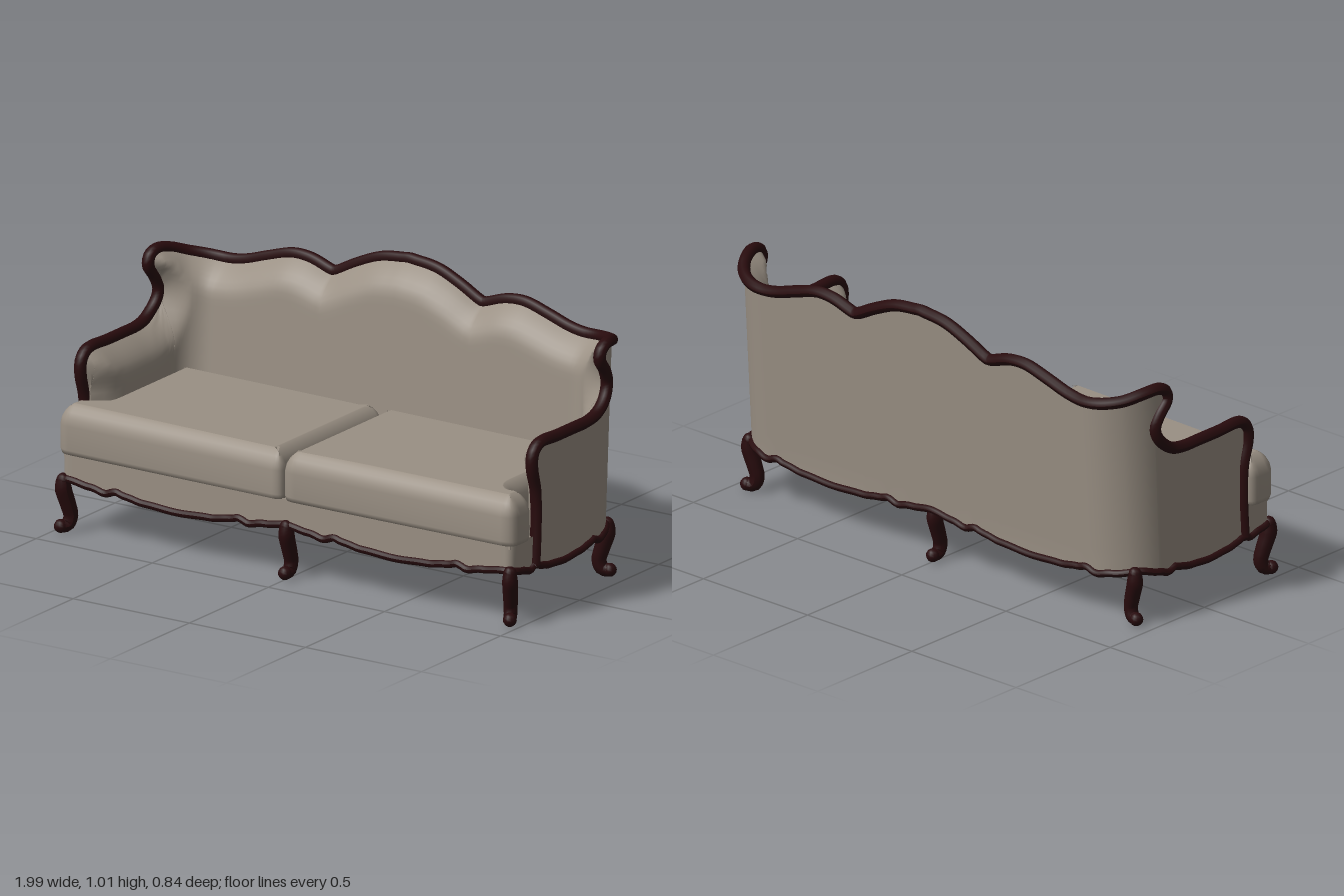
import * as THREE from 'three';
import { mergeVertices } from 'three/addons/utils/BufferGeometryUtils.js';

const fabric = new THREE.MeshStandardMaterial({ color: 0x9a9084, side: THREE.DoubleSide });
fabric.name = 'greige upholstery';
const wood = new THREE.MeshStandardMaterial({ color: 0x280b0d });
wood.name = 'dark mahogany';

const HALF = 1.47; // length of the shell's plan from arm front to middle of back
const { lerp, clamp, smoothstep } = THREE.MathUtils;

// Point on the U-shaped shell: s runs round the plan, y up, off goes inwards
function shellPoint(s, y, off = 0) {
  const t = s > HALF ? 2 * HALF - s : s;
  let x = 0.972, z = 0.25 - t, nx = 1, nz = 0;
  if (t >= 0.695) {
    x = HALF - t; z = -0.34; nx = 0; nz = -1;
  } else if (t > 0.4) {
    const a = (t - 0.4) / 0.295 * Math.PI / 2;
    nx = Math.cos(a); nz = -Math.sin(a);
    x = 0.775 + 0.197 * nx; z = -0.15 + 0.19 * nz;
  }
  const lean = 0.075 * Math.max(0, y - 0.2) * clamp(-z / 0.34, 0, 1);
  x -= nx * off;
  return new THREE.Vector3(s > HALF ? -x : x, y, z - nz * off - lean);
}

// Scalloped lower edge between two legs (u from 0 to 1)
const scallop = [[0, 0.163], [0.3, 0.17], [0.48, 0.182], [0.56, 0.192], [0.66, 0.178], [0.78, 0.19], [1, 0.203]];
function wave(u) {
  const k = Math.min(1, Math.abs(u - 0.5) * 2);
  let i = 0;
  while (i < scallop.length - 2 && k > scallop[i + 1][0]) i++;
  const [a, ya] = scallop[i], [b, yb] = scallop[i + 1];
  return lerp(ya, yb, smoothstep(k, a, b));
}
function shellBottom(s) {
  const t = s > HALF ? 2 * HALF - s : s;
  return wave(t < 0.52 ? (t + 0.13) / 0.65 : (t - 0.52) / 0.95);
}

// Smooth surface through columns of points
function grid(columns, capIndex = []) {
  const rows = columns[0].length, index = [...capIndex];
  for (let i = 0; i < columns.length - 1; i++) {
    for (let j = 0; j < rows - 1; j++) {
      const a = i * rows + j, b = a + rows;
      index.push(a, b, a + 1, b, b + 1, a + 1);
    }
  }
  let geo = new THREE.BufferGeometry().setFromPoints(columns.flat());
  geo.setIndex(index);
  geo = mergeVertices(geo, 1e-4);
  geo.computeVertexNormals();
  return geo;
}

// Tube whose half-widths across x and across y/z vary along the path
function sweep(points, segments, widths) {
  const curve = new THREE.CatmullRomCurve3(points), sides = 10;
  const geo = new THREE.TubeGeometry(curve, segments, 1, sides);
  const pos = geo.attributes.position, v = new THREE.Vector3();
  for (let i = 0; i < pos.count; i++) {
    const u = Math.floor(i / (sides + 1)) / segments, c = curve.getPointAt(u);
    const [wx, wyz] = widths(u, curve);
    v.fromBufferAttribute(pos, i).sub(c);
    pos.setXYZ(i, c.x + v.x * wx, Math.max(0, c.y + v.y * wyz), c.z + v.z * wyz);
  }
  geo.computeVertexNormals();
  return geo;
}

// Show-wood outline in (s, y): arm front, armrest, wing scroll, crested back
const railHalf = [
  [0.008, 0.2], [0.016, 0.35], [0.012, 0.47], [-0.01, 0.56], [-0.005, 0.61], [0.03, 0.64],
  [0.15, 0.64], [0.25, 0.64], [0.33, 0.641], [0.385, 0.655], [0.435, 0.70], [0.45, 0.75],
  [0.43, 0.80], [0.397, 0.85], [0.405, 0.885], [0.435, 0.9], [0.49, 0.892], [0.56, 0.87],
  [0.69, 0.852], [0.77, 0.862], [0.87, 0.893], [0.97, 0.92], [1.05, 0.916], [1.14, 0.888],
  [1.155, 0.888], [1.25, 0.935], [1.35, 0.975], [1.47, 0.99],
];
function railOutline() {
  const half = new THREE.CatmullRomCurve3(railHalf.map(([s, y]) => new THREE.Vector3(s, y, 0)))
    .getPoints((railHalf.length - 1) * 4);
  const mirrored = half.slice(0, -1).reverse().map((p) => new THREE.Vector3(2 * HALF - p.x, p.y, 0));
  return { half, full: [...half, ...mirrored] };
}

// Columns in (s, y) running from the rail down to the scalloped edge
function shellColumns({ half }) {
  const ROWS = 24;
  let reach = 0.015;
  const left = half.map((p) => {
    reach = Math.min(HALF, Math.max(reach, p.x));
    const mid = new THREE.Vector3(reach, Math.min(p.y, 0.75), 0);
    const low = new THREE.Vector3(reach, shellBottom(reach), 0);
    const d1 = p.distanceTo(mid), d2 = mid.distanceTo(low);
    return Array.from({ length: ROWS + 1 }, (_, j) => {
      const d = (d1 + d2) * (j / ROWS) ** 1.7;
      return d < d1 ? p.clone().lerp(mid, d / d1) : mid.clone().lerp(low, d2 ? Math.min(1, (d - d1) / d2) : 0);
    });
  });
  const right = left.slice(0, -1).reverse()
    .map((col) => col.map((p) => new THREE.Vector3(2 * HALF - p.x, p.y, 0)));
  return [...left, ...right];
}

// T-shaped seat cushion, wrapping round the arm front; soft on top, open below
function cushionGeometry(side, seam) {
  const s = new THREE.Shape();
  const p = (x, z) => [side * x, z];
  const corner = (x, z, x2, z2) => s.quadraticCurveTo(...p(x, z), ...p(x2, z2));
  s.moveTo(...p(seam, -0.22));
  corner(seam, -0.255, 0.04, -0.258);
  s.lineTo(...p(0.84, -0.258));
  corner(0.888, -0.258, 0.888, -0.21);
  s.lineTo(...p(0.888, 0.2));
  corner(0.888, 0.265, 0.94, 0.268);
  corner(0.985, 0.268, 0.985, 0.31);
  s.lineTo(...p(0.985, 0.35));
  corner(0.985, 0.398, 0.93, 0.4);
  s.lineTo(...p(0.05, 0.406));
  corner(seam, 0.406, seam, 0.37);
  s.closePath();
  let pts = s.getPoints(6);
  if (pts[0].distanceTo(pts[pts.length - 1]) < 1e-6) pts.pop();
  if (THREE.ShapeUtils.isClockWise(pts)) pts.reverse();
  // inward mitre direction at each corner
  const n = pts.length;
  const mitre = pts.map((q, i) => {
    const a = q.clone().sub(pts[(i + n - 1) % n]).normalize();
    const b = pts[(i + 1) % n].clone().sub(q).normalize();
    return new THREE.Vector2(-a.y - b.y, a.x + b.x).divideScalar(1 + a.dot(b));
  });
  const rings = [[0.022, 0.291], [0.006, 0.297], [0, 0.315], [0, 0.405], [0.006, 0.432],
    [0.018, 0.453], [0.033, 0.469], [0.048, 0.478], [0.052, 0.479]];
  const columns = [...pts.keys(), 0].map((i) => rings.map(([inset, y]) =>
    new THREE.Vector3(pts[i].x + mitre[i].x * inset, y, pts[i].y + mitre[i].y * inset)).reverse());
  const top = pts.map((_, i) => new THREE.Vector2(columns[i][0].x, columns[i][0].z));
  const cap = THREE.ShapeUtils.triangulateShape(top, [])
    .flatMap(([a, b, c]) => [a, c, b].map((i) => i * rings.length));
  return grid(columns, cap);
}

// Cabriole leg curving out along +z
function legGeometry() {
  const path = [[0, 0.2], [0, 0.165], [-0.02, 0.1], [-0.03, 0.058], [-0.018, 0.028], [0.01, 0.024]];
  const radii = [0.026, 0.031, 0.029, 0.027, 0.026, 0.024];
  return sweep(path.map(([o, y]) => new THREE.Vector3(0, y, o)), 20, (u, curve) => {
    const f = curve.getUtoTmapping(u) * 5, k = Math.min(4, Math.floor(f));
    const r = lerp(radii[k], radii[k + 1], f - k);
    return [r * 0.92, r];
  });
}

export function createModel() {
  const model = new THREE.Group();
  model.name = 'sofa';
  const add = (name, geo, mat, parent = model) => {
    const mesh = new THREE.Mesh(geo, mat);
    mesh.name = name;
    parent.add(mesh);
    return mesh;
  };

  // Outer shell and padded inner lining
  const outline = railOutline();
  const columns = shellColumns(outline);
  add('outerShell', grid(columns.map((c) => c.map((p) => shellPoint(p.x, p.y)))), fabric);
  const padding = (p) => {
    const d = Math.min(...outline.full.map((q) => Math.hypot(q.x - p.x, q.y - p.y)));
    const k = Math.min(1, d / 0.12);
    return 0.004 + 0.092 * k * (2 - k);
  };
  add('innerPadding', grid(columns.map((c) =>
    c.map((p) => shellPoint(p.x, Math.max(p.y, 0.27), padding(p))).reverse())), fabric);

  // Carved rail over the arms, wings and back, slimmer down the arm fronts
  add('carvedRail', sweep(outline.full.map((p) => shellPoint(p.x, p.y)), 320, (u) =>
    [0.023, lerp(0.015, 0.022, smoothstep(Math.min(u, 1 - u), 0.04, 0.09))]), wood);

  // Scalloped trim under the shell
  const trim = Array.from({ length: 141 }, (_, i) => {
    const s = (i / 140) * 2 * HALF;
    return shellPoint(s, shellBottom(s));
  });
  add('shellTrim', sweep(trim, 220, () => [0.014, 0.014]), wood);

  // Front apron with its trim
  const plan = [];
  for (let i = 0; i <= 5; i++) plan.push([0.97, 0.25 + 0.021 * i]);
  for (let i = 1; i <= 4; i++) {
    const a = (i / 4) * Math.PI / 2;
    plan.push([0.94 + 0.03 * Math.cos(a), 0.355 + 0.03 * Math.sin(a)]);
  }
  for (let i = 1; i <= 45; i++) plan.push([0.94 * (1 - i / 45), 0.385]);
  plan.push(...plan.slice(0, -1).reverse().map(([x, z]) => [-x, z]));
  const apronLow = plan.map(([x, z]) => {
    const ax = Math.abs(x);
    return new THREE.Vector3(x, ax < 0.94 ? wave(ax / 0.94) : wave((0.385 - z) / 0.65), z);
  });
  add('frontApron', grid(apronLow.map((p) => [new THREE.Vector3(p.x, 0.3, p.z), p]).reverse()), fabric);
  add('apronTrim', sweep(apronLow, 220, () => [0.014, 0.014]), wood);
  const deck = add('seatDeck', new THREE.BoxGeometry(1.92, 0.015, 0.14), fabric);
  deck.position.set(0, 0.29, 0.312);

  // Seat cushions, meeting slightly right of the middle
  add('leftCushion', cushionGeometry(1, -0.01), fabric);
  add('rightCushion', cushionGeometry(-1, 0.01), fabric);

  // Six legs: position and outward direction
  const legGeo = legGeometry();
  const knee = new THREE.SphereGeometry(0.025, 10, 8);
  const foot = new THREE.SphereGeometry(0.025, 10, 8);
  const legs = [['frontMiddleLeg', 0, 0.385, 0, 1], ['backMiddleLeg', 0, -0.325, 0, -1]];
  for (const [side, name] of [[1, 'Left'], [-1, 'Right']]) {
    legs.push([`front${name}Leg`, side * 0.962, 0.384, side * 0.5, 0.87]);
    legs.push([`back${name}Leg`, side * 0.925, -0.285, side * 0.9, -0.3]);
  }
  for (const [name, x, z, dx, dz] of legs) {
    const leg = new THREE.Group();
    leg.name = name;
    add('cabriole', legGeo, wood, leg);
    add('knee', knee, wood, leg).position.y = 0.197;
    add('scrollFoot', foot, wood, leg).position.set(0, 0.025, 0.01);
    leg.position.set(x, 0, z);
    leg.rotation.y = Math.atan2(dx, dz);
    model.add(leg);
  }
  return model;
}
